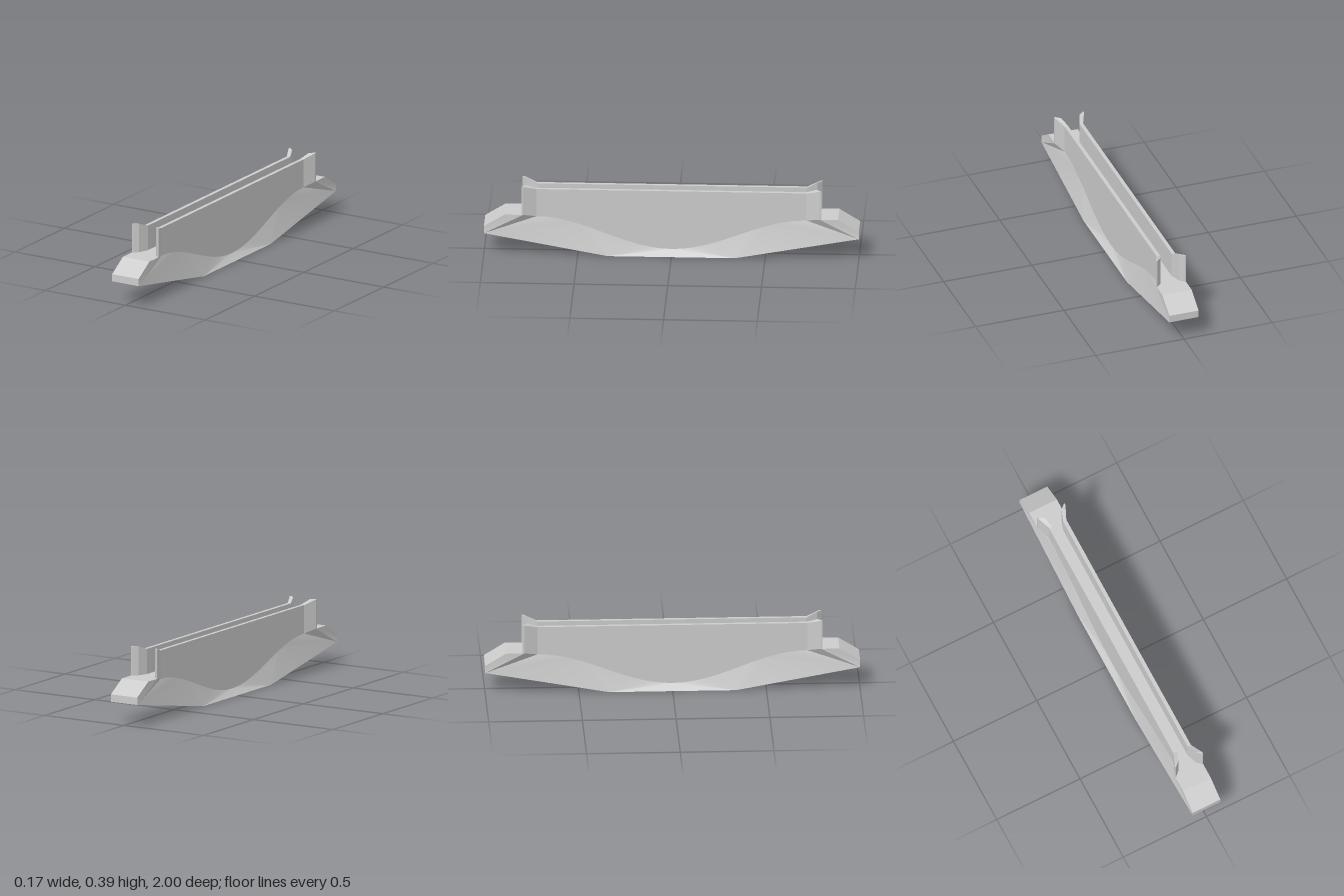
import * as THREE from 'three';
import { toCreasedNormals } from 'three/addons/utils/BufferGeometryUtils.js';

const W = 0.083;     // half width of the hull
const DECK = 0.228;  // deck height
const WALL = 0.052;  // outer half width of the trough

// Turns faces of one quarter (+x, +z) into a mesh mirrored to all four quarters.
function quarterMesh(name, faces) {
  const pos = [];
  for (const sx of [1, -1]) for (const sz of [1, -1]) {
    for (const face of faces) {
      const f = sx * sz > 0 ? face : [...face].reverse();
      for (let i = 1; i < f.length - 1; i++) {
        for (const p of [f[0], f[i], f[i + 1]]) pos.push(p[0] * sx, p[1], p[2] * sz);
      }
    }
  }
  const geo = new THREE.BufferGeometry();
  geo.setAttribute('position', new THREE.Float32BufferAttribute(pos, 3));
  const mesh = new THREE.Mesh(
    toCreasedNormals(geo, 0.3),
    new THREE.MeshStandardMaterial({ color: 0xcccccc, side: THREE.DoubleSide })
  );
  mesh.name = name;
  return mesh;
}

export function createModel() {
  const group = new THREE.Group();
  group.name = 'troughBridge';

  // Curved line where the sloped hull side meets the upright wall
  const N = 12;
  const curve = [];
  for (let i = 0; i <= N; i++) {
    const t = i / N;
    curve.push([WALL, 0.035 + 0.175 * (1 - Math.cos(Math.PI * t)) / 2, 0.72 * t]);
  }
  const mid = [W, 0, 0], knee = [W, 0, 0.34], tip = [W, 0.12, 1];
  const tipTop = [W, 0.16, 1], rampTop = [W, DECK, 0.89], deckEdge = [W, DECK, 0.79];
  const centre = (p) => [0, p[1], p[2]];

  // Keel: flat middle and rising ends
  group.add(quarterMesh('keel', [
    [centre(mid), mid, knee, centre(knee)],
    [centre(knee), knee, tip, centre(tip)],
  ]));

  // Hull sides: fans from the knee and the tip to the curved line
  const split = 8;
  const sides = [[knee, mid, curve[0]], [knee, curve[split], tip]];
  for (let i = 0; i < N; i++) sides.push([i < split ? knee : tip, curve[i], curve[i + 1]]);
  sides.push([tip, curve[N], deckEdge], [tip, deckEdge, rampTop, tipTop]);
  group.add(quarterMesh('hullSides', sides));

  // Deck with sloped ramps and blunt ends
  const neck = [WALL, DECK, 0.72], deckMid = [WALL, DECK, 0];
  group.add(quarterMesh('deck', [
    [centre(tip), tip, tipTop, centre(tipTop)],
    [centre(tipTop), tipTop, rampTop, centre(rampTop)],
    [centre(rampTop), rampTop, deckEdge, centre(deckEdge)],
    [centre(deckEdge), deckEdge, neck, centre(neck)],
    [centre(neck), neck, deckMid, centre(deckMid)],
  ]));

  // Side walls: stations along the wall, flaring outward and upward at the ends
  const stations = [
    { inner: [0.032, 0], outer: [WALL, 0], top: 0.365, low: 0.035 },
    { inner: [0.032, 0.72], outer: [WALL, 0.72], top: 0.365, low: 0.21 },
    { inner: [0.052, 0.775], outer: [W, 0.79], top: 0.387, low: DECK },
    { inner: [0.079, 0.8], outer: [W, 0.8], top: 0.387, low: DECK },
  ];
  const at = ([x, z], y) => [x, y, z];
  const walls = [];
  for (let i = 0; i < 3; i++) {
    const a = stations[i], b = stations[i + 1];
    walls.push([at(a.inner, DECK), at(b.inner, DECK), at(b.inner, b.top), at(a.inner, a.top)]);
    walls.push([at(a.inner, a.top), at(b.inner, b.top), at(b.outer, b.top), at(a.outer, a.top)]);
    if (i > 0) {
      walls.push([at(b.outer, b.low), at(a.outer, a.low), at(a.outer, a.top), at(b.outer, b.top)]);
    }
  }
  // Outer wall faces above the curved line
  for (let i = 0; i < N; i++) {
    const a = curve[i], b = curve[i + 1];
    walls.push([b, a, [WALL, 0.365, a[2]], [WALL, 0.365, b[2]]]);
  }
  const end = stations[3];
  walls.push([at(end.inner, DECK), at(end.outer, DECK), at(end.outer, end.top), at(end.inner, end.top)]);
  group.add(quarterMesh('sideWalls', walls));

  return group;
}
